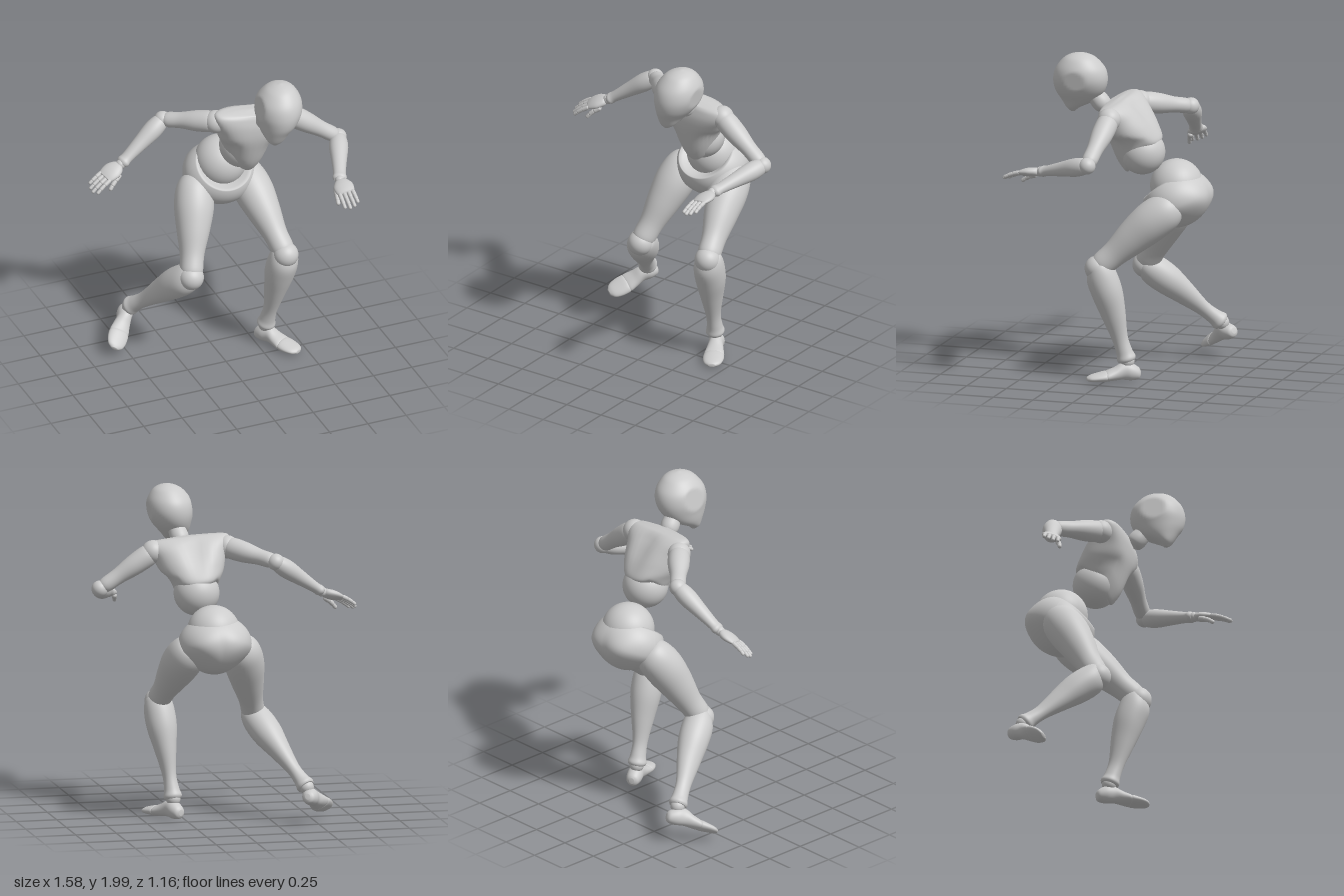
import * as THREE from 'three';

const material = new THREE.MeshStandardMaterial({ color: 0xcccccc, side: THREE.DoubleSide });
const V = (p) => new THREE.Vector3(...p);

function add(parent, name, geometry) {
  const mesh = new THREE.Mesh(geometry, material);
  mesh.name = name;
  parent.add(mesh);
  return mesh;
}

// Smooth closed skin through elliptical rings [x, y, z, halfWidth, halfDepth, pitch, power]
function loft(rings, sub = 5, sides = 40) {
  const full = rings.map(([x, y, z, rx, rz, pitch = 0, power = 2]) => [x, y, z, rx, rz, pitch, power]);
  const fine = [];
  for (let i = 0; i < full.length - 1; i++) {
    const a = full[Math.max(i - 1, 0)], b = full[i], c = full[i + 1], d = full[Math.min(i + 2, full.length - 1)];
    for (let k = 0; k < sub; k++) {
      const t = k / sub;
      fine.push(b.map((v, n) => v + 0.5 * t * (c[n] - a[n] + t * (2 * a[n] - 5 * v + 4 * c[n] - d[n] + t * (3 * (v - c[n]) + d[n] - a[n])))));
    }
  }
  fine.push(full[full.length - 1]);
  const pos = [], index = [];
  for (const [x, y, z, rx, rz, pitch, power] of fine) {
    for (let j = 0; j < sides; j++) {
      const a = (j / sides) * Math.PI * 2, c = Math.cos(a), s = Math.sin(a);
      const u = Math.sign(c) * Math.abs(c) ** (2 / power) * rx;
      const w = Math.sign(s) * Math.abs(s) ** (2 / power) * rz;
      pos.push(x + u, y - w * Math.sin(pitch), z + w * Math.cos(pitch));
    }
  }
  const last = fine.length - 1, tip = fine.length * sides;
  for (let i = 0; i < last; i++) for (let j = 0; j < sides; j++) {
    const a = i * sides + j, b = i * sides + (j + 1) % sides;
    index.push(a, a + sides, b, b, a + sides, b + sides);
  }
  pos.push(...fine[0].slice(0, 3), ...fine[last].slice(0, 3));
  for (let j = 0; j < sides; j++) {
    const k = (j + 1) % sides;
    index.push(tip, j, k, tip + 1, last * sides + k, last * sides + j);
  }
  const g = new THREE.BufferGeometry();
  g.setAttribute('position', new THREE.Float32BufferAttribute(pos, 3));
  g.setIndex(index);
  g.computeVertexNormals();
  return g;
}

// Put an object at a point, its y along dir and its z near hint
function place(object, at, dir, hint) {
  const y = dir.clone().normalize();
  const x = y.clone().cross(hint).normalize();
  object.quaternion.setFromRotationMatrix(new THREE.Matrix4().makeBasis(x, y, x.clone().cross(y)));
  object.position.copy(at);
  return object;
}

// Limb segment: profile rows are [fraction of length, depth offset, halfWidth, halfDepth]
function limb(parent, name, from, to, hint, profile) {
  const a = V(from), dir = V(to).sub(a), len = dir.length();
  place(add(parent, name, loft(profile.map(([t, o, rx, rz]) => [0, t * len, o, rx, rz]))), a, dir, V(hint));
}

function ball(parent, name, at, r) {
  add(parent, name, new THREE.SphereGeometry(r, 40, 28)).position.set(...at);
}

const thighShape = [[-0.11, 0, 0.03, 0.03], [-0.07, 0, 0.08, 0.08], [0.05, 0, 0.112, 0.115], [0.25, 0.005, 0.12, 0.122],
  [0.5, 0.005, 0.1, 0.105], [0.75, 0, 0.074, 0.08], [0.92, 0, 0.07, 0.074], [0.97, 0, 0.06, 0.064]];
const shinShape = [[-0.06, -0.03, 0.045, 0.04], [-0.02, -0.02, 0.076, 0.068], [0.1, -0.01, 0.092, 0.094], [0.28, -0.012, 0.09, 0.094],
  [0.5, -0.008, 0.066, 0.076], [0.75, 0, 0.042, 0.05], [0.9, 0, 0.046, 0.05], [0.97, 0, 0.056, 0.058], [1, 0, 0.048, 0.05]];
const upperArmShape = [[0, 0, 0.04, 0.04], [0.08, 0, 0.064, 0.064], [0.35, 0, 0.063, 0.065], [0.65, 0, 0.049, 0.05],
  [0.88, 0, 0.046, 0.048], [0.96, 0, 0.036, 0.036]];
const forearmShape = [[0, 0, 0.034, 0.034], [0.06, 0, 0.05, 0.05], [0.25, 0, 0.058, 0.056], [0.55, 0, 0.047, 0.044],
  [0.85, 0, 0.038, 0.032], [0.95, 0, 0.043, 0.033], [1, 0, 0.034, 0.025]];

// Chain of short rounded finger bones, each bent from the one before
function finger(parent, name, at, spread, bend, bones, r) {
  let joint = new THREE.Group();
  joint.name = name;
  joint.position.set(...at);
  joint.rotation.set(bend, 0, spread);
  parent.add(joint);
  bones.forEach((len, i) => {
    const k = r * (1 - 0.1 * i);
    add(joint, 'fingerBone', new THREE.CapsuleGeometry(k, len - k, 5, 12)).position.y = len / 2;
    const next = new THREE.Group();
    next.position.y = len;
    next.rotation.x = bend;
    joint.add(next);
    joint = next;
  });
}

// Hand: local y to the fingertips, x to the thumb, curl gives the palm side
function hand(parent, name, wrist, dir, thumb, curl) {
  const g = new THREE.Group();
  g.name = name;
  place(g, V(wrist), V(dir), V(thumb).cross(V(dir)));
  parent.add(g);
  ball(g, 'wristBall', [0, 0.004, 0], 0.03);
  add(g, 'palm', loft([[0, 0.01, 0, 0.02, 0.016], [0, 0.025, 0, 0.042, 0.025], [0, 0.065, 0, 0.06, 0.028],
    [0, 0.105, 0, 0.058, 0.023], [0, 0.137, 0, 0.048, 0.013]], 4, 24));
  [0.041, 0.014, -0.013, -0.039].forEach((x, i) =>
    finger(g, 'finger', [x, 0.127, 0], -x * 0.8, curl * 0.12, [0.047, 0.04, 0.031].map((l) => l * [0.93, 1.05, 1, 0.82][i]), 0.0135));
  finger(g, 'thumb', [0.045, 0.055, curl * 0.018], -0.2, curl * 0.16, [0.042, 0.036, 0.028], 0.016);
}

function foot(parent, name, heel, dir, up) {
  const g = new THREE.Group();
  g.name = name;
  place(g, V(heel), V(dir), V(up));
  parent.add(g);
  add(g, 'heelAndArch', loft([[0, 0, 0.05, 0.015, 0.018], [0, 0.015, 0.05, 0.037, 0.038], [0, 0.06, 0.06, 0.048, 0.054],
    [0, 0.11, 0.064, 0.044, 0.052], [0, 0.16, 0.049, 0.053, 0.04], [0, 0.205, 0.038, 0.061, 0.032], [0, 0.215, 0.037, 0.05, 0.025]]));
  add(g, 'toes', loft([[0, 0.205, 0.036, 0.047, 0.023], [0, 0.215, 0.036, 0.062, 0.032], [0, 0.265, 0.031, 0.061, 0.026],
    [0, 0.307, 0.026, 0.047, 0.019], [0, 0.328, 0.023, 0.02, 0.01]]));
}

function leg(parent, side, { hip, knee, ankle, heel, toeDir, up }) {
  const g = new THREE.Group();
  g.name = side + 'Leg';
  parent.add(g);
  limb(g, 'thigh', hip, knee, [0, 0.6, 1], thighShape);
  ball(g, 'kneeBall', knee, 0.077);
  limb(g, 'shin', knee, ankle, [0, 0, 1], shinShape);
  ball(g, 'ankleBall', ankle, 0.044);
  foot(g, 'foot', heel, toeDir, up);
}

function arm(parent, side, { shoulder, elbow, wrist, fingers, thumb, curl }) {
  const g = new THREE.Group();
  g.name = side + 'Arm';
  parent.add(g);
  ball(g, 'shoulderBall', shoulder, 0.07);
  limb(g, 'upperArm', shoulder, elbow, [0, 0, 1], upperArmShape);
  ball(g, 'elbowBall', elbow, 0.051);
  limb(g, 'forearm', elbow, wrist, [0, 1, 0.1], forearmShape);
  hand(g, 'hand', wrist, fingers, thumb, curl);
}

export function createModel() {
  const model = new THREE.Group();
  model.name = 'posedMannequin';
  const { clamp, smoothstep } = THREE.MathUtils;

  // Head tapering to the chin, with flat discs at the temples
  const head = loft([[0.212, 1.622, 0.255, 0.012, 0.012], [0.218, 1.65, 0.25, 0.05, 0.042], [0.228, 1.7, 0.215, 0.084, 0.105],
    [0.247, 1.76, 0.2, 0.117, 0.15], [0.258, 1.83, 0.193, 0.139, 0.167], [0.263, 1.9, 0.19, 0.132, 0.153],
    [0.27, 1.96, 0.19, 0.094, 0.106], [0.274, 1.988, 0.19, 0.052, 0.06], [0.275, 2, 0.19, 0.008, 0.008]], 6, 56);
  const hp = head.attributes.position;
  for (let i = 0; i < hp.count; i++) {
    const mid = 0.258 + (hp.getY(i) - 1.83) * 0.16;
    hp.setX(i, clamp(hp.getX(i), mid - 0.126, mid + 0.126));
  }
  head.computeVertexNormals();
  add(model, 'head', head);
  limb(model, 'neck', [0.218, 1.655, 0.045], [0.245, 1.78, 0.145], [0, 0, 1],
    [[0, 0, 0.03, 0.03], [0.1, 0, 0.05, 0.05], [0.3, 0, 0.057, 0.057], [0.6, 0, 0.053, 0.053], [1, 0, 0.05, 0.05]]);

  // Chest shell with a low front tongue, raised sides and a spine groove, dropping to its left
  const chest = loft([[0.175, 1.36, -0.185, 0.105, 0.134, 0.76], [0.176, 1.375, -0.18, 0.132, 0.152, 0.74],
    [0.18, 1.43, -0.15, 0.16, 0.157, 0.62, 2.1], [0.187, 1.51, -0.115, 0.188, 0.148, 0.5, 2.2], [0.193, 1.59, -0.075, 0.212, 0.13, 0.45, 2.4],
    [0.197, 1.655, -0.045, 0.246, 0.102, 0.4, 2.5], [0.198, 1.695, -0.025, 0.243, 0.07, 0.35, 2.5],
    [0.2, 1.708, -0.01, 0.19, 0.045, 0.3], [0.2, 1.712, 0, 0.06, 0.03, 0.3]]);
  const cp = chest.attributes.position;
  for (let i = 0; i < cp.count; i++) {
    const x = cp.getX(i) - 0.19, y = cp.getY(i);
    const k = smoothstep(y, 1.4, 1.65);
    const spine = 0.03 * k * smoothstep(-cp.getZ(i), 0.06, 0.17) * Math.exp(-((x / 0.07) ** 2));
    const lift = 0.075 * Math.min(1, (x / 0.12) ** 2) * (1 - smoothstep(y, 1.37, 1.56));
    cp.setY(i, y - x * 0.09 * k + lift);
    cp.setZ(i, cp.getZ(i) + spine + x * 0.06 * k);
  }
  chest.computeVertexNormals();
  add(model, 'chestShell', chest);
  ball(model, 'ribBall', [0.178, 1.394, -0.172], 0.138);
  ball(model, 'abdomenBall', [0.12, 1.19, -0.37], 0.16);

  // Pelvis bowl: a sphere whose rim dips front and back, rises at the hips and turns
  // inward, narrowing to the crotch and bulging into two soft buttocks
  const bowl = new THREE.SphereGeometry(1, 64, 48);
  const bp = bowl.attributes.position;
  for (let i = 0; i < bp.count; i++) {
    const p = new THREE.Vector3().fromBufferAttribute(bp, i);
    const around = Math.atan2(p.x, p.z), polar = Math.acos(clamp(p.y, -1, 1));
    const rim = 1.0 + 0.18 * Math.cos(around) - 0.18 * Math.sin(around) ** 2;
    const q = rim + (Math.PI - rim) * Math.max(0, (polar - 0.25) / (Math.PI - 0.25));
    p.set(Math.sin(around) * Math.sin(q), Math.cos(q), Math.cos(around) * Math.sin(q));
    const lobe = Math.exp(-((Math.abs(p.x) - 0.42) ** 2 + (p.y + 0.3) ** 2 + (p.z + 0.85) ** 2) / 0.18);
    p.multiplyScalar(Math.min(1, 0.5 + polar * 2) + 0.09 * lobe);
    p.x *= 1 - 0.22 * smoothstep(-p.y, 0.2, 1);
    bp.setXYZ(i, p.x, p.y, p.z);
  }
  bowl.computeVertexNormals();
  const pelvis = add(model, 'pelvisBowl', bowl);
  pelvis.position.set(0.113, 1.11, -0.37);
  pelvis.scale.set(0.224, 0.178, 0.205);
  pelvis.rotation.x = 0.43;

  leg(model, 'left', { hip: [0.27, 1.08, -0.37], knee: [0.368, 0.7, 0.05], ankle: [0.31, 0.13, -0.12],
    heel: [0.278, 0.005, -0.193], toeDir: [0.15, 0, 0.28], up: [0, 1, 0] });
  leg(model, 'right', { hip: [-0.06, 1.08, -0.34], knee: [-0.2, 0.61, -0.065], ankle: [-0.43, 0.235, -0.475],
    heel: [-0.432, 0.15, -0.58], toeDir: [-0.145, -0.085, 0.22], up: [0.45, 1, 0.4] });
  arm(model, 'left', { shoulder: [0.415, 1.63, -0.04], elbow: [0.735, 1.41, -0.005], wrist: [0.602, 1.325, 0.33],
    fingers: [-0.02, -0.03, 0.23], thumb: [-1, -0.2, 0], curl: -1 });
  arm(model, 'right', { shoulder: [-0.03, 1.65, -0.09], elbow: [-0.275, 1.59, -0.33], wrist: [-0.572, 1.385, -0.265],
    fingers: [-0.2, -0.08, 0.05], thumb: [0.2, -0.35, 1], curl: 1 });
  return model;
}
